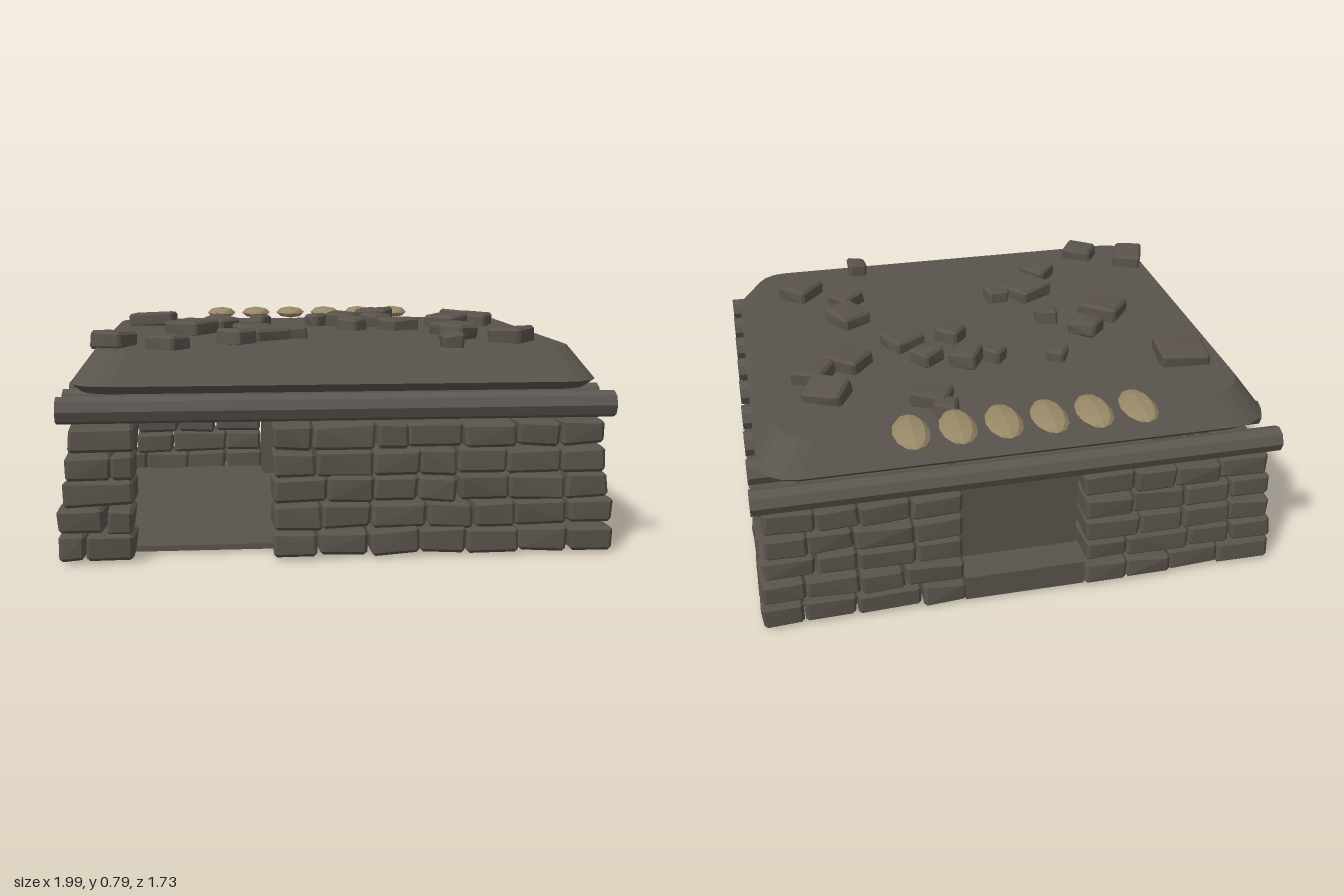
import * as THREE from 'three';
import { ConvexGeometry } from 'three/addons/geometries/ConvexGeometry.js';

export function createModel() {
  const root = new THREE.Group();
  root.name = 'stoneHut';

  const mat = (name, color) => {
    const m = new THREE.MeshStandardMaterial({ color });
    m.name = name;
    return m;
  };
  const stone = mat('stone', 0x59534b);
  const roofMat = mat('packedEarth', 0x59544d);
  const wood = mat('wood', 0x5b5650);
  const tan = mat('tan', 0x988868);

  let seed = 7;
  const rnd = () => {
    seed = (seed * 16807) % 2147483647;
    return seed / 2147483647;
  };
  const jit = (a) => (rnd() * 2 - 1) * a;

  const add = (parent, name, geo, material, x, y, z) => {
    const mesh = new THREE.Mesh(geo, material);
    mesh.name = name;
    mesh.position.set(x, y, z);
    parent.add(mesh);
    return mesh;
  };
  const group = (name) => {
    const g = new THREE.Group();
    g.name = name;
    root.add(g);
    return g;
  };

  // Rough block: jittered corners, each cut into a small chamfer
  const block = (w, h, d, bevel = 0.012, rough = 0.005) => {
    const pts = [];
    for (const sx of [-1, 1]) for (const sy of [-1, 1]) for (const sz of [-1, 1]) {
      const s = [sx, sy, sz];
      const c = [w, h, d].map((v, i) => s[i] * v / 2 + jit(rough));
      for (let k = 0; k < 3; k++) {
        pts.push(new THREE.Vector3(...c.map((v, i) => (i === k ? v : v - s[i] * bevel))));
      }
    }
    return new ConvexGeometry(pts);
  };

  // Dry-stone walls, five courses leaning slightly inwards
  const T = 0.16, H = 0.094, CZ = 0.03;
  const layRun = (parent, from, to, y, place) => {
    const n = Math.max(1, Math.round((to - from) / 0.17));
    const cuts = [from];
    for (let i = 1; i < n; i++) cuts.push(from + (to - from) * i / n + jit(0.035));
    cuts.push(to);
    for (let i = 0; i < n; i++) {
      const len = cuts[i + 1] - cuts[i] - 0.004;
      place(parent, (cuts[i] + cuts[i + 1]) / 2, len, y + jit(0.003));
    }
  };
  const alongX = (z) => (parent, x, len, y) => {
    const m = add(parent, 'wallStone', block(len, H - 0.003, T), stone, x, y, z + jit(0.008));
    m.rotation.set(0, jit(0.03), jit(0.03));
  };
  const alongZ = (x) => (parent, z, len, y) => {
    const m = add(parent, 'wallStone', block(T, H - 0.003, len), stone, x + jit(0.008), y, z);
    m.rotation.set(jit(0.03), jit(0.03), 0);
  };
  const front = group('frontWall'), back = group('backWall');
  const left = group('leftWall'), right = group('rightWall');
  for (let c = 0; c < 5; c++) {
    const y = 0.054 + c * H;
    const X = 0.985 - c * 0.009, Z = 0.825 - c * 0.008;
    const xEnd = c % 2 ? X - T : X;
    const zEnd = c % 2 ? Z : Z - T;
    const zf = CZ + Z - T / 2, zb = CZ - Z + T / 2;
    // doorway in the front, walled recess in the back
    layRun(front, -xEnd, -0.72, y, alongX(zf));
    layRun(front, -0.24, xEnd, y, alongX(zf));
    layRun(back, -xEnd, -0.23, y, alongX(zb));
    layRun(back, 0.23, xEnd, y, alongX(zb));
    layRun(left, CZ - zEnd, CZ + zEnd, y, alongZ(X - T / 2));
    layRun(right, CZ - zEnd, CZ + zEnd, y, alongZ(-X + T / 2));
  }

  // Floor, recess panel and its step
  add(root, 'floor', new THREE.BoxGeometry(1.76, 0.02, 1.4), stone, 0, 0.016, CZ);
  add(root, 'recessPanel', new THREE.BoxGeometry(0.46, 0.48, 0.2), stone, 0, 0.26, -0.56);
  add(root, 'recessStep', new THREE.BoxGeometry(0.46, 0.1, 0.14), stone, 0, 0.06, -0.72);

  // Roof logs
  const logs = group('roofLogs');
  const logGeo = new THREE.CylinderGeometry(0.048, 0.048, 1.96, 8).toNonIndexed();
  logGeo.computeVertexNormals();
  logGeo.rotateZ(Math.PI / 2);
  for (let i = 0; i < 9; i++) add(logs, 'log', logGeo, wood, 0, 0.535, 0.812 - i * 0.1944);

  // Earth roof: rounded rectangles stacked as rings, capped at both ends
  const ring = (inset, y, r) => {
    const hx = 0.945 - inset, hz = 0.787 - inset, pts = [];
    [[1, 1], [-1, 1], [-1, -1], [1, -1]].forEach(([sx, sz], q) => {
      for (let k = 0; k <= 4; k++) {
        const a = (q + k / 4) * Math.PI / 2;
        pts.push([sx * (hx - r) + r * Math.cos(a), y, CZ + sz * (hz - r) + r * Math.sin(a)]);
      }
    });
    return pts;
  };
  const rings = [ring(0.035, 0.585, 0.12), ring(0, 0.615, 0.14), ring(0.085, 0.728, 0.12)];
  const N = rings[0].length, pos = [];
  const tri = (a, b, c) => pos.push(...a, ...b, ...c);
  for (let j = 0; j < 2; j++) for (let i = 0; i < N; i++) {
    const k = (i + 1) % N;
    tri(rings[j][i], rings[j + 1][i], rings[j + 1][k]);
    tri(rings[j][i], rings[j + 1][k], rings[j][k]);
  }
  for (let i = 0; i < N; i++) {
    const k = (i + 1) % N;
    tri([0, 0.728, CZ], rings[2][k], rings[2][i]);
    tri([0, 0.585, CZ], rings[0][i], rings[0][k]);
  }
  const roofGeo = new THREE.BufferGeometry();
  roofGeo.setAttribute('position', new THREE.Float32BufferAttribute(pos, 3));
  roofGeo.computeVertexNormals();
  add(root, 'roof', roofGeo, roofMat, 0, 0, 0);

  // Loose stones on the roof: x, z, width, depth, clockwise turn in degrees
  const loose = group('roofStones');
  [
    [-0.71, -0.385, 0.19, 0.17, 5], [-0.24, -0.29, 0.075, 0.085, 30],
    [-0.415, -0.095, 0.12, 0.11, 40], [-0.28, 0.03, 0.09, 0.07, 5],
    [-0.53, 0.055, 0.17, 0.155, 38], [-0.255, 0.31, 0.16, 0.18, -32],
    [-0.125, 0.28, 0.085, 0.1, -8], [-0.355, 0.47, 0.12, 0.11, 42],
    [-0.8, 0.54, 0.12, 0.15, 22], [-0.605, 0.645, 0.13, 0.11, 35],
    [0, -0.25, 0.075, 0.075, 42], [0.115, -0.25, 0.11, 0.12, 28],
    [0.26, -0.205, 0.1, 0.1, -38], [0.135, -0.045, 0.1, 0.1, 40],
    [0.33, -0.05, 0.14, 0.13, -28],
  ].concat([
    [0.26, -0.605, 0.085, 0.085, 20], [0.295, -0.515, 0.14, 0.12, 26],
    [0.665, -0.4, 0.16, 0.13, 28], [0.7, -0.245, 0.13, 0.15, 28],
    [0.56, -0.175, 0.15, 0.14, 38], [0.515, 0.2, 0.13, 0.15, -30],
    [0.505, 0.365, 0.12, 0.11, -42], [0.685, 0.49, 0.13, 0.15, 38],
    [0.42, 0.675, 0.075, 0.09, 0],
  ]).forEach(([x, z, w, d, a]) => {
    const m = add(loose, 'looseStone', block(w, 0.065, d, 0.01, 0.004), stone, x, 0.742 + rnd() * 0.01, z);
    m.rotation.set(jit(0.08), -a * Math.PI / 180, jit(0.08), 'YXZ');
  });

  // Row of tan pods along the back edge of the roof
  const pods = group('pods');
  const podGeo = new THREE.SphereGeometry(1, 8, 6).toNonIndexed();
  podGeo.rotateX(Math.PI / 2);
  podGeo.scale(0.066, 0.026, 0.114);
  podGeo.computeVertexNormals();
  for (let i = 0; i < 6; i++) add(pods, 'pod', podGeo, tan, -0.41 + i * 0.164, 0.75, -0.75);

  return root;
}
